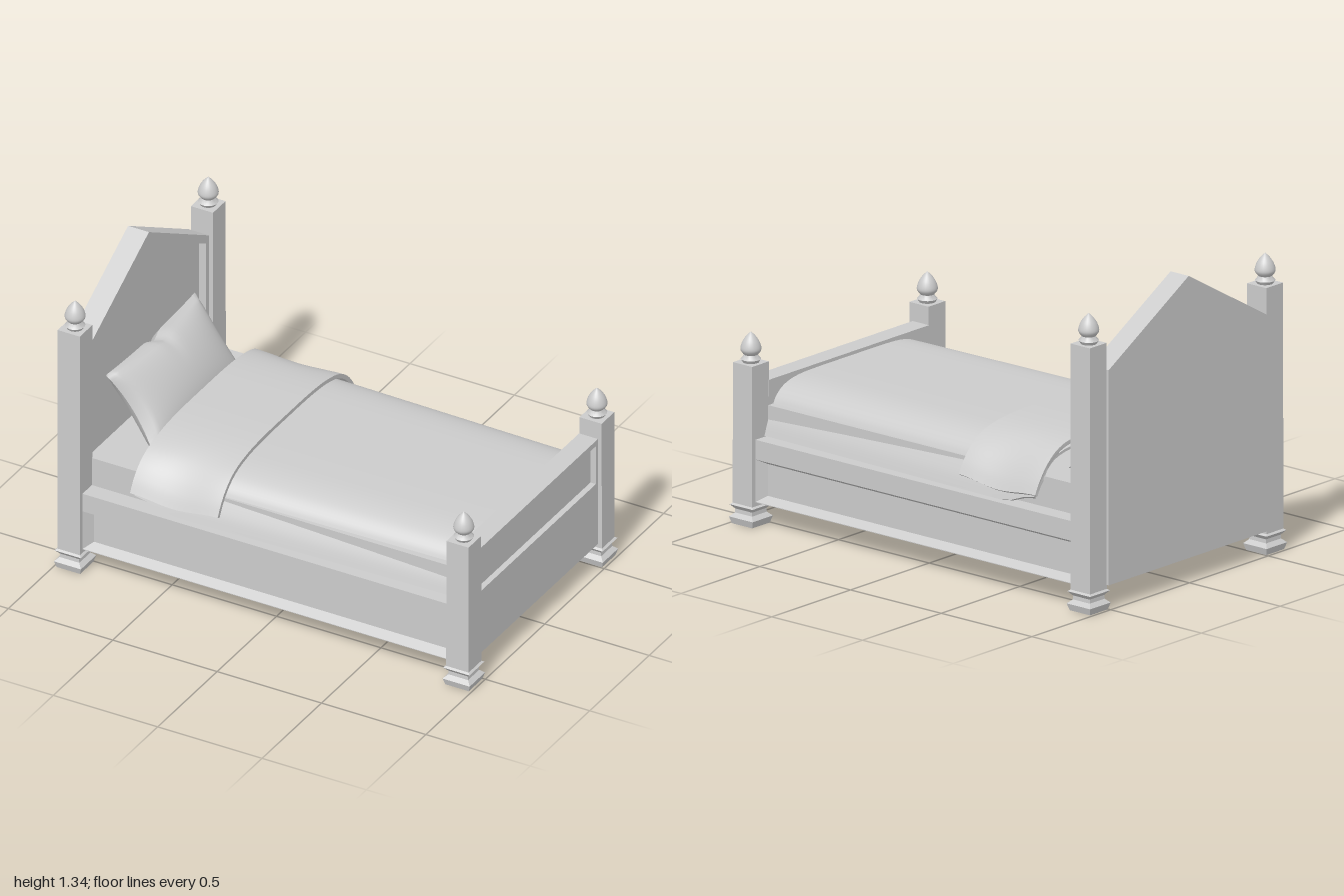
import * as THREE from 'three';
import { mergeGeometries, toCreasedNormals } from 'three/addons/utils/BufferGeometryUtils.js';

const material = new THREE.MeshStandardMaterial({ color: 0xcccccc, side: THREE.DoubleSide });

function part(name, geometry, parent) {
  const mesh = new THREE.Mesh(geometry, material);
  mesh.name = name;
  parent.add(mesh);
  return mesh;
}

// Joins convex outlines [[x, y], ...] stacked along z, and caps both ends
function loft(layers) {
  const pos = [];
  const tri = (...pts) => pts.forEach((p) => pos.push(...p));
  const rings = layers.map(([outline, z]) => outline.map(([x, y]) => [x, y, z]));
  const n = rings[0].length;
  for (let i = 0; i < rings.length - 1; i++) {
    for (let k = 0; k < n; k++) {
      const j = (k + 1) % n;
      const [a, b, c, d] = [rings[i][k], rings[i][j], rings[i + 1][j], rings[i + 1][k]];
      tri(a, b, c, a, c, d);
    }
  }
  const first = rings[0], last = rings[rings.length - 1];
  for (let k = 1; k < n - 1; k++) {
    tri(first[0], first[k + 1], first[k]);
    tri(last[0], last[k], last[k + 1]);
  }
  const geometry = new THREE.BufferGeometry();
  geometry.setAttribute('position', new THREE.Float32BufferAttribute(pos, 3));
  geometry.computeVertexNormals();
  return geometry;
}

const rect = (w, y0, y1) => [[-w, y0], [w, y0], [w, y1], [-w, y1]];
const gable = (w, y0, y1, peak) => [[-w, y0], [w, y0], [w, y1], [0, peak], [-w, y1]];

// Square post with moulded foot and a turned finial
function makePost(name, height) {
  const post = new THREE.Group();
  post.name = name;
  const steps = [[0.056, 0], [0.065, 0.03], [0.047, 0.047], [0.046, 0.064],
    [0.063, 0.083], [0.054, 0.09], [0.053, height]];
  part('postShaft', loft(steps.map(([h, y]) => [rect(h, -h, h), y])).rotateX(-Math.PI / 2), post);

  const collar = [[0, 0], [0.034, 0], [0.043, 0.014], [0.034, 0.024], [0.029, 0.034], [0, 0.034]];
  part('finialCollar', toCreasedNormals(new THREE.LatheGeometry(
    collar.map((p) => new THREE.Vector2(...p)), 24), 0.5), post).position.y = height;
  const bulb = new THREE.SplineCurve([[0.026, 0.03], [0.04, 0.046], [0.044, 0.062], [0.035, 0.09],
    [0.018, 0.115], [0, 0.132]].map((p) => new THREE.Vector2(...p)));
  part('finial', new THREE.LatheGeometry(bulb.getPoints(16), 24), post).position.y = height;
  return post;
}

// Cloth of even thickness draped across the bed; half holds [z, y] from the middle to the hem
function drape(half, x0, x1, thickness, warp) {
  const right = half.map(([z, y]) => new THREE.Vector2(z, y));
  const left = right.slice(1).reverse().map((p) => new THREE.Vector2(-p.x, p.y));
  const curve = new THREE.SplineCurve([...left, ...right]);
  const N = 56, outer = [], inner = [];
  for (let i = 0; i <= N; i++) {
    const p = curve.getPoint(i / N), t = curve.getTangent(i / N);
    outer.push(p);
    inner.unshift(new THREE.Vector2(p.x + t.y * thickness, p.y - t.x * thickness));
  }
  const geometry = new THREE.ExtrudeGeometry(new THREE.Shape([...outer, ...inner]),
    { depth: x1 - x0, steps: 24, bevelEnabled: false });
  geometry.rotateY(Math.PI / 2).translate(x0, 0, 0);
  const pos = geometry.attributes.position, v = new THREE.Vector3();
  for (let i = 0; i < pos.count; i++) {
    v.fromBufferAttribute(pos, i);
    warp(v, (v.x - x0) / (x1 - x0));
    pos.setXYZ(i, v.x, v.y, v.z);
  }
  return toCreasedNormals(geometry, 0.7);
}

// Plump pillow with pointed corners, drawn-in edges and a dent in the top seam
function pillowGeometry() {
  const sides = [1, -1].map((s) => {
    const g = new THREE.PlaneGeometry(2, 2, 32, 24);
    if (s < 0) g.rotateY(Math.PI);
    const pos = g.attributes.position;
    for (let i = 0; i < pos.count; i++) {
      const u = pos.getX(i), v = pos.getY(i);
      const puff = Math.pow(Math.max(0, (1 - u * u) * (1 - v * v)), 0.37);
      const dent = v > 0 ? 0.02 * v * Math.exp(-((u / 0.1) ** 2)) : 0;
      pos.setXYZ(i, 0.375 * u * (1 - 0.09 * (1 - v * v)),
        0.197 * v * (1 - 0.06 * (1 - u * u)) - dent, (s > 0 ? 0.103 : -0.085) * puff);
    }
    g.computeVertexNormals();
    return g;
  });
  return mergeGeometries(sides);
}

export function createModel() {
  const bed = new THREE.Group();
  bed.name = 'bed';

  // Corner posts
  for (const side of [1, -1]) {
    const label = side > 0 ? 'Front' : 'Back';
    const head = makePost('headPost' + label, 1.162);
    head.position.set(-0.931, 0, side * 0.56);
    const foot = makePost('footPost' + label, 0.702);
    foot.position.set(0.931, 0, side * 0.56);
    bed.add(head, foot);
  }

  // Gabled headboard, recessed on the inside
  const headboard = part('headboard', loft([
    [gable(0.508, 0.107, 1.045, 1.337), -0.996],
    [gable(0.508, 0.107, 1.045, 1.337), -0.896],
    [gable(0.48, 0.41, 1.02, 1.28), -0.896],
    [gable(0.48, 0.41, 1.02, 1.28), -0.93],
  ]), bed);
  headboard.rotation.y = Math.PI / 2;

  // Footboard, recessed on the outside
  const footboard = part('footboard', loft([
    [rect(0.508, 0.107, 0.622), 0.876],
    [rect(0.508, 0.107, 0.622), 0.966],
    [rect(0.49, 0.41, 0.596), 0.966],
    [rect(0.49, 0.41, 0.596), 0.94],
  ]), bed);
  footboard.rotation.y = Math.PI / 2;

  // Side rails with bevelled sunken panels
  for (const side of [1, -1]) {
    const rail = part(side > 0 ? 'sideRailFront' : 'sideRailBack', loft([
      [rect(0.89, 0.107, 0.38), 0.5],
      [rect(0.89, 0.107, 0.38), 0.592],
      [rect(0.876, 0.11, 0.294), 0.592],
      [rect(0.845, 0.133, 0.272), 0.552],
    ]), bed);
    rail.rotation.y = side > 0 ? 0 : Math.PI;
  }

  // Mattress, set between the rails above a hollow underside
  part('mattress', new THREE.BoxGeometry(1.78, 0.193, 1.026), bed).position.set(-0.008, 0.4165, 0);

  // Blanket, narrowing towards the foot, with its hem rounded up at the corners
  part('blanket', drape([[0, 0.607], [0.2, 0.607], [0.34, 0.602], [0.43, 0.582], [0.485, 0.545],
    [0.513, 0.5], [0.545, 0.44], [0.565, 0.385]], -0.64, 0.876, 0.012, (v, t) => {
    const hang = THREE.MathUtils.smoothstep(Math.abs(v.z), 0.5, 0.565);
    v.y += 0.05 * hang * (1 - THREE.MathUtils.smoothstep(t, 0, 0.12));
    v.z *= 1.013 - 0.063 * t;
  }), bed);

  // Turned-down fold with a softly waving hem
  part('blanketFold', drape([[0, 0.648], [0.2, 0.646], [0.34, 0.633], [0.43, 0.605], [0.5, 0.555],
    [0.55, 0.495], [0.583, 0.437]], -0.655, -0.235, 0.018, (v, t) => {
    const hang = THREE.MathUtils.smoothstep(Math.abs(v.z), 0.35, 0.58);
    v.y += hang * (0.01 * Math.cos(t * Math.PI * 2) + 0.008 * t);
    v.x += 0.015 * (1 - hang) * (1 - t);
  }), bed);

  // Pillow leaning on the headboard
  const pillow = part('pillow', pillowGeometry(), bed);
  pillow.position.set(-0.775, 0.68, 0);
  pillow.rotation.set(-0.62, Math.PI / 2, 0, 'YXZ');

  return bed;
}
